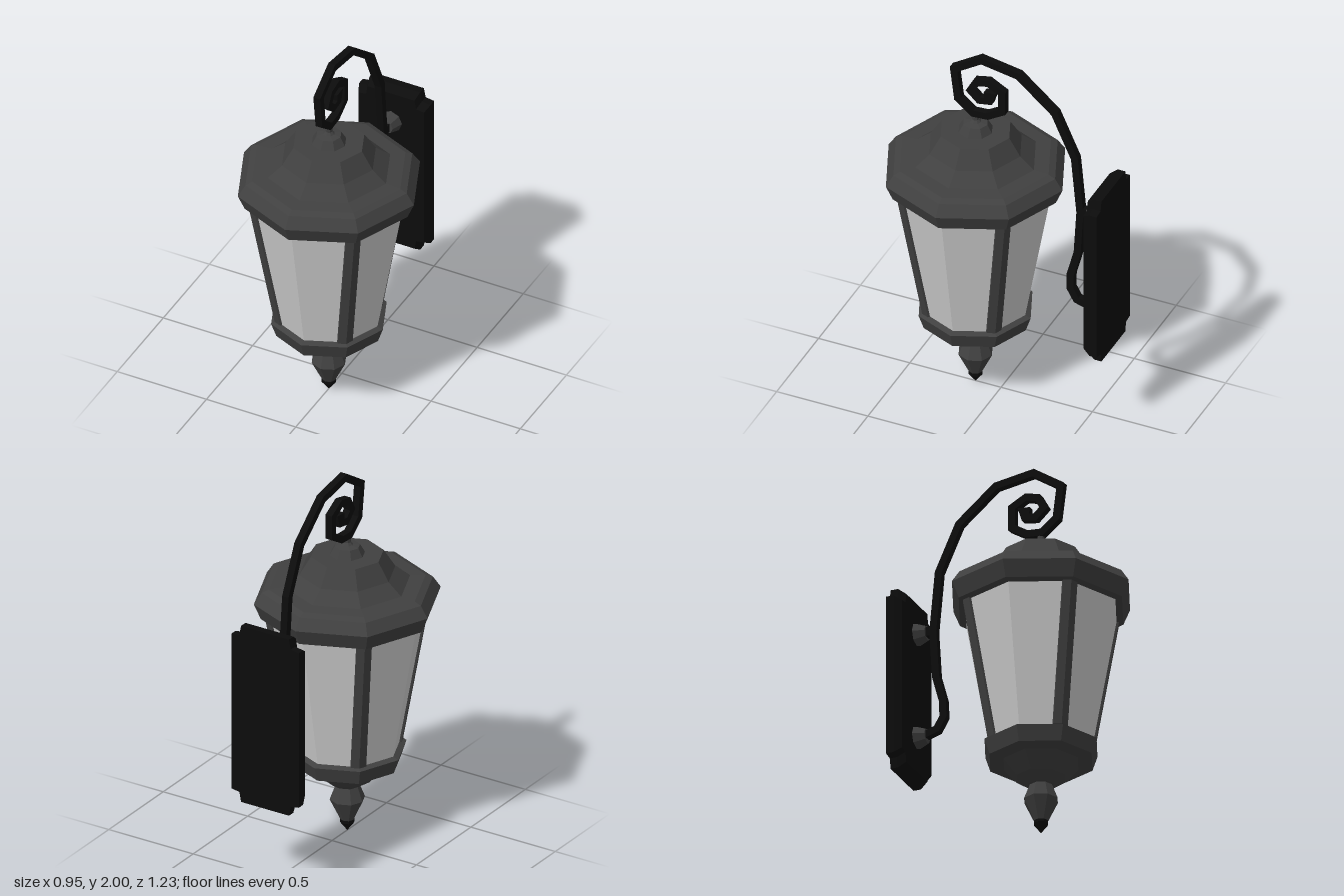
import * as THREE from 'three';

const mat = (color) => new THREE.MeshStandardMaterial({ color, flatShading: true, side: THREE.DoubleSide });
const V = (p) => new THREE.Vector2(p[0], p[1]);
const SIDES = 8, AXIS_Z = 0.14;

export function createModel() {
  const model = new THREE.Group();
  const metal = mat(0x404040), black = mat(0x0c0c0c), glass = mat(0xcccccc);

  const add = (parent, name, geometry, material) => {
    const mesh = new THREE.Mesh(geometry, material);
    mesh.name = name;
    parent.add(mesh);
    return mesh;
  };
  const turned = (points) => new THREE.LatheGeometry(points.map(V), SIDES);

  // Lantern body, turned about its own axis
  const lantern = new THREE.Group();
  lantern.name = 'lantern';
  lantern.position.z = AXIS_Z;
  model.add(lantern);

  add(lantern, 'roof', turned([
    [0, 1.21], [0.41, 1.21], [0.44, 1.22], [0.476, 1.305], [0.436, 1.365], [0.4, 1.38],
    [0.32, 1.385], [0.245, 1.445], [0.185, 1.54], [0, 1.54],
  ]), metal);
  add(lantern, 'roofCap', turned([
    [0.09, 1.54], [0.065, 1.585], [0.03, 1.592], [0.018, 1.605], [0.018, 1.65],
  ]), metal);
  add(lantern, 'collar', turned([
    [0, 0.255], [0.07, 0.26], [0.13, 0.3], [0.2, 0.38], [0.275, 0.39],
    [0.302, 0.47], [0.27, 0.483], [0, 0.483],
  ]), metal);
  add(lantern, 'finial', turned([[0.035, 0.065], [0.09, 0.18], [0.06, 0.258]]), metal);
  add(lantern, 'finialTip', turned([[0, 0], [0.038, 0.05], [0.038, 0.065], [0, 0.07]]), black);

  // Tapered glass panes
  const y0 = 0.48, y1 = 1.212, r0 = 0.272, r1 = 0.405;
  const panes = add(lantern, 'glassPanes',
    new THREE.CylinderGeometry(r1, r0, y1 - y0, SIDES, 1, true), glass);
  panes.position.y = (y0 + y1) / 2;

  // Folded bars over every second edge of the glass
  const bar = new THREE.BoxGeometry(0.078, 1, 1, 2, 1, 1);
  const p = bar.attributes.position;
  for (let i = 0; i < p.count; i++) {
    const t = p.getY(i) + 0.5;
    const r = THREE.MathUtils.lerp(r0, r1, t) + (p.getZ(i) > 0 ? 0.012 : -0.015);
    p.setY(i, THREE.MathUtils.lerp(y0, y1, t));
    p.setZ(i, r - Math.abs(p.getX(i)) * Math.tan(Math.PI / 8));
  }
  for (let i = 0; i < 4; i++) {
    add(lantern, 'glazingBar', bar, metal).rotation.y = Math.PI / 4 + i * Math.PI / 2;
  }

  // Scrolled arm: a square bar mitred along a path of [z, y]
  const path = [
    [-0.5, 0.648], [-0.42, 0.672], [-0.385, 0.735], [-0.387, 0.82], [-0.425, 0.96], [-0.44, 1.21],
    [-0.41, 1.53], [-0.3, 1.775], [-0.1, 1.945], [0.105, 1.98], [0.252, 1.885], [0.23, 1.71],
    [0.15, 1.645], [0.07, 1.65], [-0.012, 1.7], [-0.012, 1.81], [0.065, 1.853], [0.13, 1.838],
    [0.162, 1.78], [0.115, 1.735], [0.058, 1.745], [0.048, 1.778], [0.085, 1.775],
  ].map(V);
  const half = 0.019;
  const normal = (a, b) => new THREE.Vector2(a.y - b.y, b.x - a.x).normalize();
  const miters = path.map((q, i) => {
    const n1 = normal(path[Math.max(i - 1, 0)], path[Math.max(i, 1)]);
    const last = path.length - 1;
    const n2 = normal(path[Math.min(i, last - 1)], path[Math.min(i + 1, last)]);
    const m = n1.clone().add(n2).normalize();
    return m.multiplyScalar(half / m.dot(n1));
  });
  const segments = path.slice(1).map((b, i) => new THREE.Shape([
    path[i].clone().add(miters[i]), path[i].clone().sub(miters[i]),
    b.clone().sub(miters[i + 1]), b.clone().add(miters[i + 1]),
  ]));
  const armGeometry = new THREE.ExtrudeGeometry(segments, { depth: 2 * half, bevelEnabled: false });
  armGeometry.rotateY(-Math.PI / 2).translate(half, 0, 0);
  add(model, 'scrollArm', armGeometry, black);
  add(model, 'armStub', new THREE.BoxGeometry(0.038, 0.048, 0.06), black).position.set(0, 1.215, -0.46);

  // Wall mounts, narrowing towards the arm
  for (const y of [0.65, 1.215]) {
    const base = new THREE.CylinderGeometry(0.038, 0.062, 0.06, SIDES).rotateX(Math.PI / 2);
    add(model, 'wallMount', base, metal).position.set(0, y, -0.508);
  }

  // Back plate with notched corners and a sloped front edge
  const corner = [[0.2, 0.43], [0.152, 0.437], [0.142, 0.49]];
  const flip = (sx, sy) => corner.map(([x, y]) => [x * sx, y * sy]);
  const outline = [
    ...flip(1, 1), ...flip(-1, 1).reverse(), ...flip(-1, -1), ...flip(1, -1).reverse(),
  ].map(V);
  const plate = new THREE.ExtrudeGeometry(new THREE.Shape(outline),
    { depth: 0.08, steps: 2, bevelEnabled: false });
  const q = plate.attributes.position;
  for (let i = 0; i < q.count; i++) {
    if (q.getZ(i) > 0.07) q.setXY(i, q.getX(i) * 0.92, q.getY(i) * 0.94);
  }
  add(model, 'backPlate', plate, black).position.set(0, 0.925, -0.615);

  return model;
}
